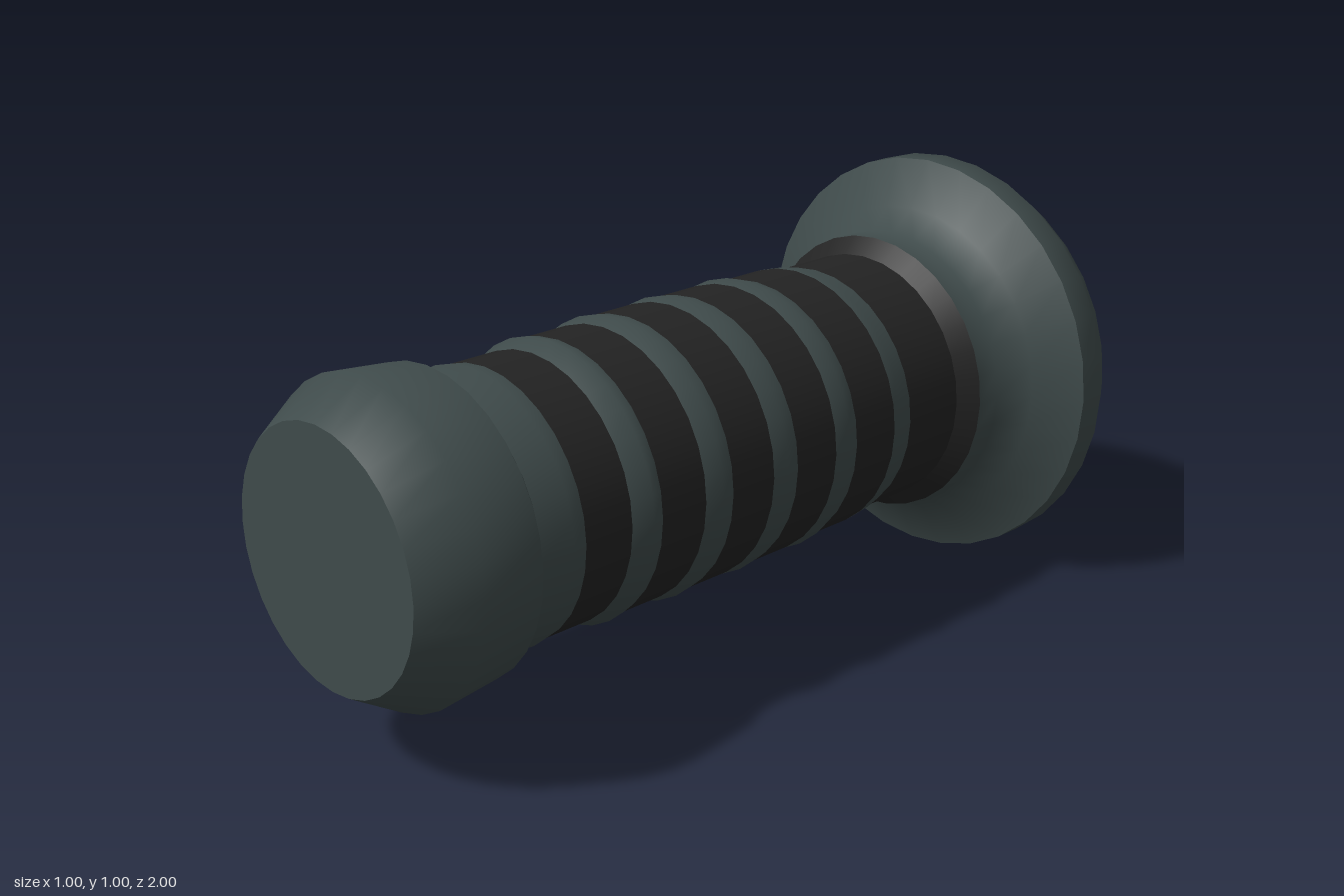
import * as THREE from 'three';

const SIDES = 32;

export function createModel() {
  const group = new THREE.Group();
  const slate = new THREE.MeshStandardMaterial({ color: 0x3f4b4b });
  slate.name = 'slate';
  const black = new THREE.MeshStandardMaterial({ color: 0x232323 });
  black.name = 'black rubber';

  // Turned section along z; points are [radius, z], running from back to front
  function turned(name, material, points) {
    const geometry = new THREE.LatheGeometry(points.map(([r, z]) => new THREE.Vector2(r, z)), SIDES);
    geometry.rotateX(Math.PI / 2);
    const mesh = new THREE.Mesh(geometry, material);
    mesh.name = name;
    mesh.position.y = 0.5;
    group.add(mesh);
  }

  // Flared pommel at the back
  turned('pommelPlug', black, [[0, -1], [0.18, -1]]);
  turned('pommelBack', slate, [[0.18, -1], [0.39, -1], [0.445, -0.97], [0.5, -0.885], [0.5, -0.815]]);
  turned('pommelNeck', slate, [[0.5, -0.815], [0.39, -0.76], [0.34, -0.69], [0.34, -0.625]]);
  turned('pommelSeat', black, [[0.34, -0.625], [0.302, -0.585]]);

  // Raised grip rings: back z, front z, back radius, peak radius, peak z, front radius
  const rings = [
    [-0.415, -0.345, 0.302, 0.312, -0.37, 0.314],
    [-0.215, -0.14, 0.314, 0.324, -0.18, 0.319],
    [-0.015, 0.06, 0.319, 0.325, 0.02, 0.319],
    [0.185, 0.26, 0.319, 0.325, 0.22, 0.313],
    [0.385, 0.46, 0.313, 0.32, 0.415, 0.302],
    [0.585, 0.7, 0.302, 0.308, 0.62, 0.3],
  ];
  let lastZ = -0.585;
  let lastR = 0.302;
  for (const [z0, z1, r0, peak, peakZ, r1] of rings) {
    turned('gripBand', black, [[lastR, lastZ], [r0, z0]]);
    turned('gripRing', slate, [[r0, z0], [peak, peakZ], [r1, z1]]);
    lastZ = z1;
    lastR = r1;
  }

  // Front collar and end cap
  turned('collarStep', slate, [[0.3, 0.7], [0.34, 0.73]]);
  turned('collar', slate, [[0.34, 0.73], [0.355, 0.885], [0.285, 1]]);
  turned('endCap', slate, [[0.285, 1], [0, 1]]);

  return group;
}
